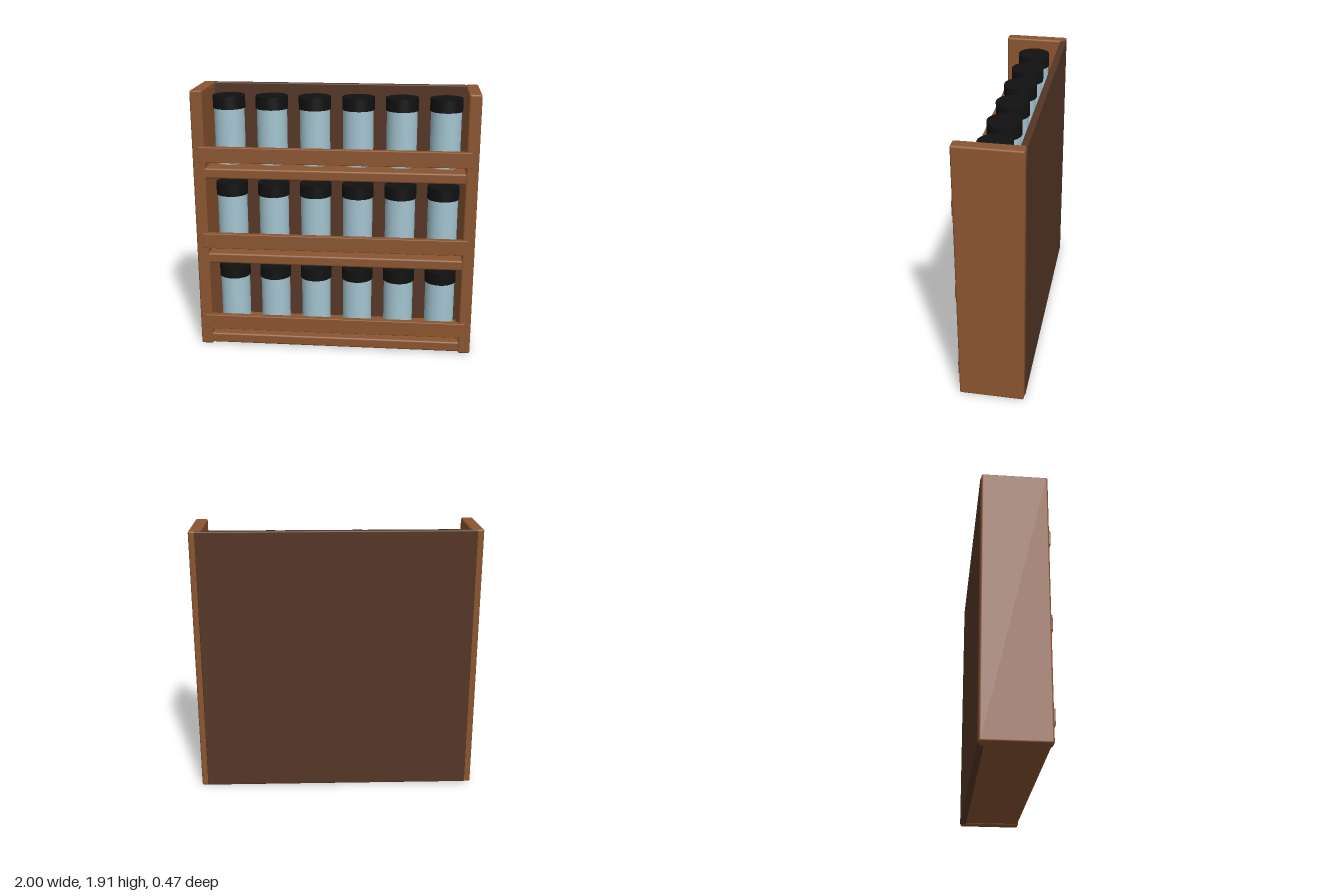
import * as THREE from 'three';
import { RoundedBoxGeometry } from 'three/addons/geometries/RoundedBoxGeometry.js';

export function createModel() {
  const rack = new THREE.Group();
  rack.name = 'jarRack';

  const material = (name, color) => {
    const m = new THREE.MeshStandardMaterial({ color });
    m.name = name;
    return m;
  };
  const wood = material('wood', 0x8b5530);
  const darkWood = material('darkWood', 0x553625);
  const glass = material('paleBlueGlass', 0xa3c4d0);
  const black = material('blackCap', 0x111111);

  const add = (name, geometry, mat, x, y, z, parent = rack) => {
    const mesh = new THREE.Mesh(geometry, mat);
    mesh.name = name;
    mesh.position.set(x, y, z);
    parent.add(mesh);
    return mesh;
  };
  // Softly edged board given by its limits
  const board = (name, mat, [x0, x1], [y0, y1], [z0, z1], radius) =>
    add(name, new RoundedBoxGeometry(x1 - x0, y1 - y0, z1 - z0, 2, radius), mat,
      (x0 + x1) / 2, (y0 + y1) / 2, (z0 + z1) / 2);

  // Frame
  board('leftSide', wood, [0.913, 1], [0, 1.91], [-0.23, 0.22], 0.013);
  board('rightSide', wood, [-1, -0.913], [0, 1.91], [-0.23, 0.22], 0.013);
  board('backPanel', darkWood, [-0.957, 0.957], [0.003, 1.907], [-0.235, -0.19], 0.008);

  // Cap: straight walls with a small bevel at each rim
  const capGeometry = new THREE.CylinderGeometry(0.115, 0.115, 0.09, 32);
  const jarGeometry = new THREE.CylinderGeometry(0.108, 0.108, 0.41, 32);

  // Shelves, each with a guard rail and a row of jars
  for (const top of [0.085, 0.722, 1.359]) {
    board('shelf', wood, [-0.928, 0.928], [top - 0.075, top], [-0.21, 0.216], 0.013);
    board('guardRail', wood, [-0.955, 0.955], [top + 0.045, top + 0.155], [0.19, 0.235], 0.005);
    for (let i = 0; i < 6; i++) {
      const jar = new THREE.Group();
      jar.name = 'jar';
      jar.position.set((i - 2.5) * 0.309, top, -0.01);
      add('jarBody', jarGeometry, glass, 0, 0.204, 0, jar);
      add('jarCap', capGeometry, black, 0, 0.443, 0, jar);
      rack.add(jar);
    }
  }
  return rack;
}
